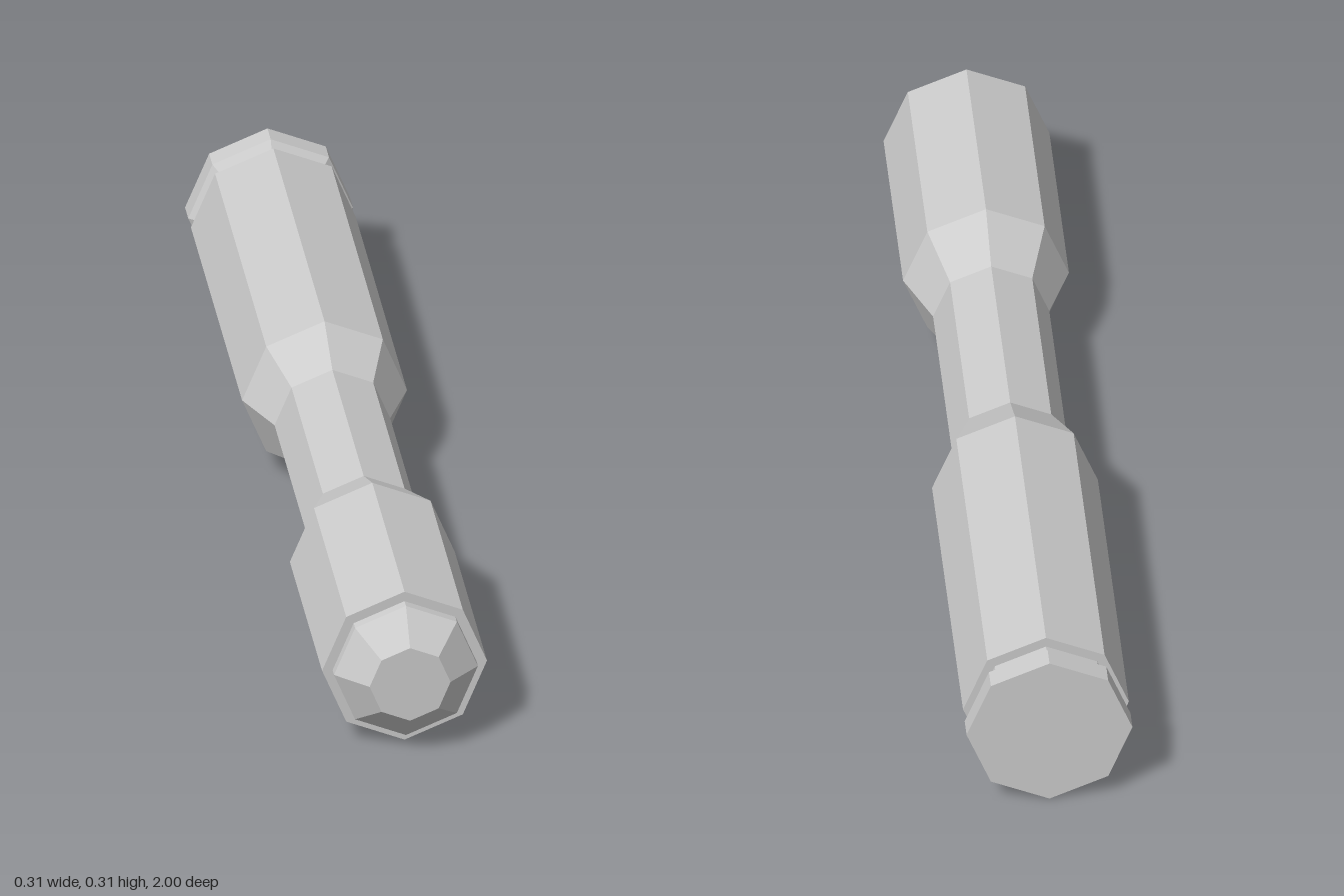
import * as THREE from 'three';

const SIDES = 8;
const RADIUS = 0.157;

// Closed octagonal solid along z; profile is [radius, z] from back to front
function turned(name, profile, material) {
  const points = profile.map(([r, z]) => new THREE.Vector2(r, z));
  const geometry = new THREE.LatheGeometry(points, SIDES);
  geometry.rotateX(Math.PI / 2);
  const mesh = new THREE.Mesh(geometry, material);
  mesh.name = name;
  mesh.position.y = RADIUS;
  return mesh;
}

export function createModel() {
  const group = new THREE.Group();
  group.name = 'handle';
  const material = new THREE.MeshStandardMaterial({ color: 0xcccccc, flatShading: true });

  // End cap with a bevel leading into the narrow neck
  group.add(turned('endCap', [
    [0, -1], [RADIUS, -1], [RADIUS, -0.955], [0.137, -0.937], [0, -0.937],
  ], material));

  // Recessed neck between end cap and body
  group.add(turned('neck', [
    [0, -0.94], [0.137, -0.94], [0.137, -0.91], [0, -0.91],
  ], material));

  // Main body with a slimmer waist
  group.add(turned('body', [
    [0, -0.917], [RADIUS, -0.917], [RADIUS, -0.2], [0.11, -0.09],
    [0.11, 0.35], [RADIUS, 0.47], [RADIUS, 0.922], [0, 0.922],
  ], material));

  // Chamfered front tip
  group.add(turned('tip', [
    [0, 0.915], [0.137, 0.915], [0.137, 0.942], [0.077, 1], [0, 1],
  ], material));

  return group;
}
